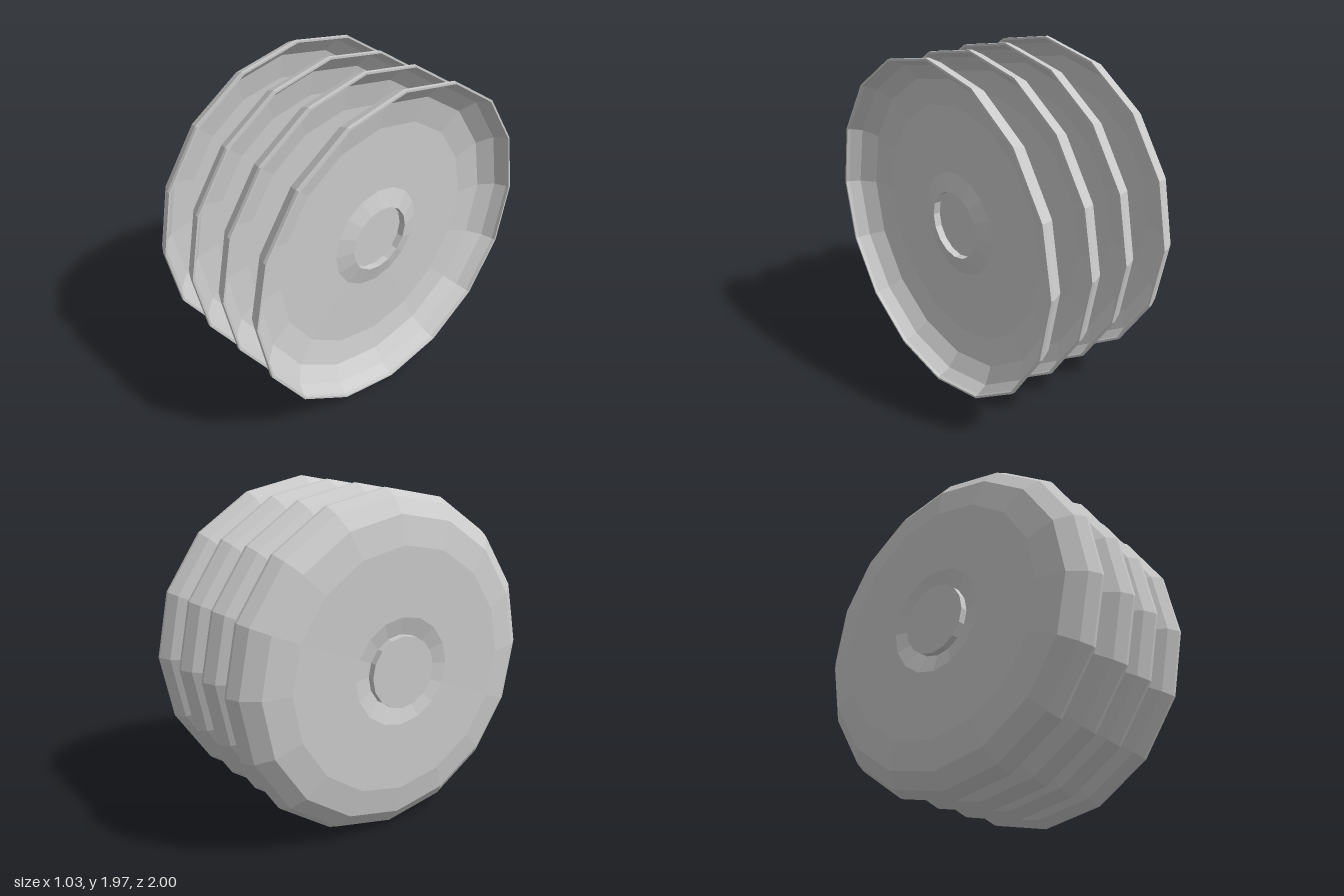
import * as THREE from 'three';

// Four shallow dishes standing on edge in a row, hollow sides facing +x.
export function createModel() {
  const group = new THREE.Group();
  group.name = 'dishStack';
  const material = new THREE.MeshStandardMaterial({ color: 0xcccccc, flatShading: true });

  // Closed section of one dish: [radius, distance along the axis from the rim]
  const profile = [
    // outside: foot, groove around it, base, curved wall, rim band
    [0, -0.199], [0.207, -0.199], [0.207, -0.158], [0.31, -0.186], [0.7, -0.188],
    [0.862, -0.16], [0.952, -0.09], [0.987, -0.02], [0.987, 0],
    // inside: wall, floor, raised collar, sunken centre
    [0.975, 0], [0.972, -0.02], [0.94, -0.085], [0.853, -0.15], [0.7, -0.178],
    [0.31, -0.176], [0.2, -0.146], [0.2, -0.189], [0, -0.189],
  ].map(([r, h]) => new THREE.Vector2(r, h));

  const geometry = new THREE.LatheGeometry(profile, 16);
  geometry.rotateZ(-Math.PI / 2);

  // Rim position along x and slight sideways shift of each dish
  const places = [[-0.317, -0.001], [-0.03, 0.008], [0.23, -0.006], [0.51, -0.013]];
  places.forEach(([x, z], i) => {
    const dish = new THREE.Mesh(geometry, material);
    dish.name = `dish${i + 1}`;
    dish.position.set(x, 0.992, z);
    group.add(dish);
  });
  return group;
}
